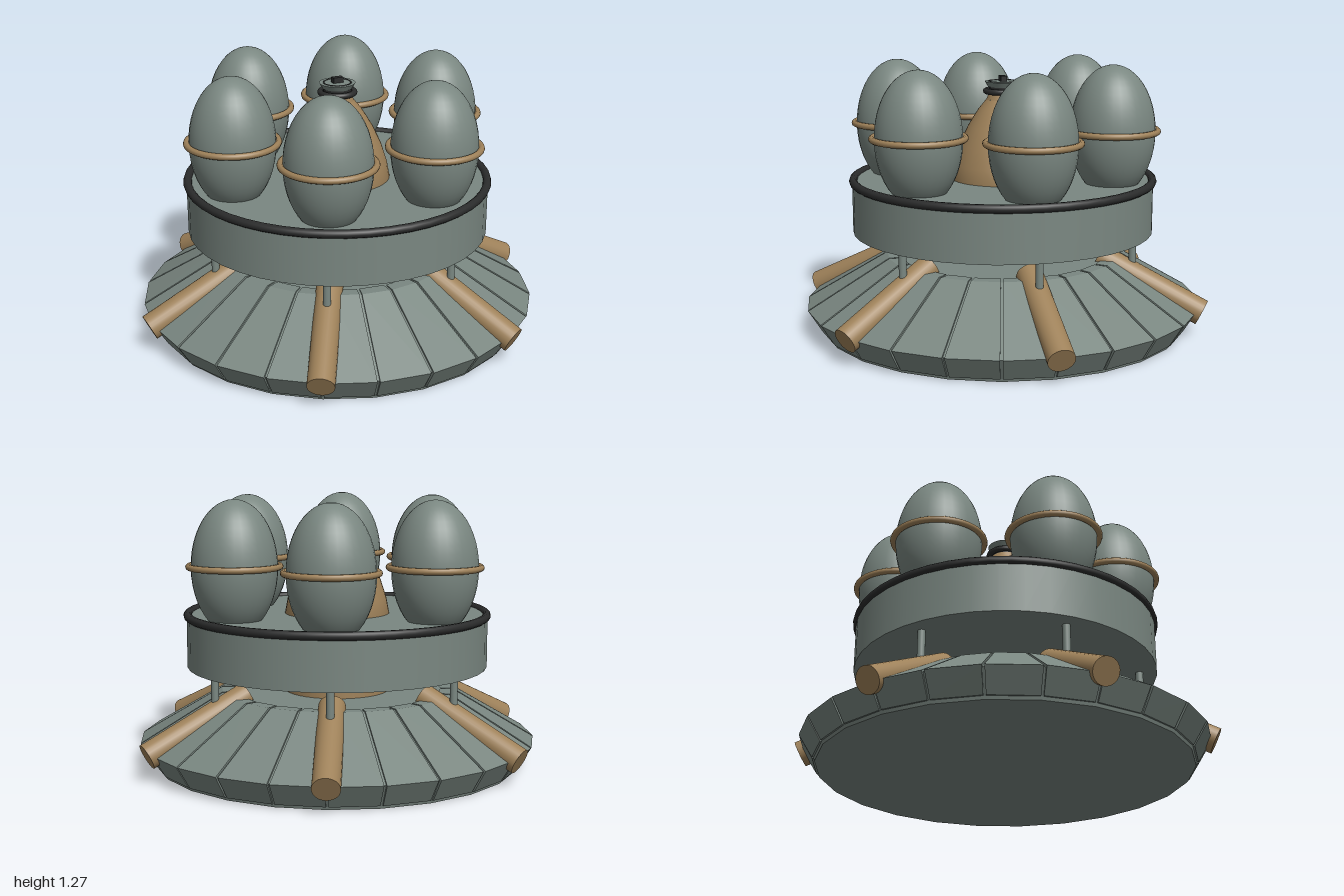
import * as THREE from 'three';
import { ConvexGeometry } from 'three/addons/geometries/ConvexGeometry.js';

export function createModel() {
  const model = new THREE.Group();
  const mat = (name, color, flat = false) => {
    const m = new THREE.MeshStandardMaterial({ color, flatShading: flat });
    m.name = name;
    return m;
  };
  const grey = mat('greyMetal', 0x7a8781);
  const tan = mat('bronze', 0x9e8159);
  const black = mat('blackRubber', 0x2b2c2c);

  const add = (name, geometry, material, parent = model) => {
    const mesh = new THREE.Mesh(geometry, material);
    mesh.name = name;
    parent.add(mesh);
    return mesh;
  };
  const lathe = (pts, seg) => new THREE.LatheGeometry(pts.map(p => new THREE.Vector2(...p)), seg);
  const disc = (name, rTop, rBottom, y0, y1, seg, material, parent) => {
    const m = add(name, new THREE.CylinderGeometry(rTop, rBottom, y1 - y0, seg), material, parent);
    m.position.y = (y0 + y1) / 2;
    return m;
  };
  const hoop = (name, r, tube, y, material, parent) => {
    const m = add(name, new THREE.TorusGeometry(r, tube, 10, 48), material, parent);
    m.rotation.x = Math.PI / 2;
    m.position.y = y;
    return m;
  };

  // Base core, visible as the floor of the grooves
  disc('baseLowerCore', 0.935, 0.868, 0, 0.118, 24, grey);
  disc('baseUpperCore', 0.55, 0.935, 0.118, 0.345, 24, grey);
  disc('baseFloor', 0.877, 0.872, 0, 0.015, 24, grey);

  // Twenty-four skirt panels with narrow gaps, each an upper and a lower slab
  const step = Math.PI / 12, gap = 0.006;
  const slab = profile => {
    const pts = [];
    for (const [r, y] of profile) {
      for (const s of [-1, 1]) {
        const a = s * step / 2;
        pts.push(new THREE.Vector3(
          r * Math.cos(a) + s * gap * Math.sin(step / 2), y,
          r * Math.sin(a) - s * gap * Math.cos(a)));
      }
    }
    return new ConvexGeometry(pts);
  };
  const upper = slab([[0.56, 0.35], [0.95, 0.12], [0.9, 0.12], [0.5, 0.35]]);
  const lower = slab([[0.95, 0.12], [0.885, 0.015], [0.82, 0.015], [0.88, 0.12]]);
  for (let i = 0; i < 24; i++) {
    const panel = new THREE.Group();
    panel.name = 'skirtPanel';
    panel.rotation.y = (i + 0.5) * step;
    add('skirtSlope', upper, grey, panel);
    add('skirtEdge', lower, grey, panel);
    model.add(panel);
  }

  // Tray with its black rim
  disc('tray', 0.72, 0.72, 0.47, 0.718, 40, grey);
  hoop('trayRim', 0.715, 0.02, 0.715, black);

  // Central column that tapers above the tray
  add('column', lathe([[0.25, 0.3], [0.25, 0.72], [0.237, 0.79], [0.208, 0.88],
    [0.165, 0.97], [0.115, 1.05], [0.078, 1.095]], 40), tan);
  disc('columnNeck', 0.065, 0.078, 1.095, 1.125, 32, tan);

  // Cap on the column
  const cap = new THREE.Group();
  cap.name = 'cap';
  model.add(cap);
  hoop('capSeal', 0.08, 0.014, 1.134, black, cap);
  disc('capBody', 0.066, 0.066, 1.12, 1.157, 32, black, cap);
  disc('capPlate', 0.085, 0.07, 1.155, 1.18, 32, grey, cap);
  hoop('capGroove', 0.064, 0.004, 1.179, black, cap);
  const knob = add('capKnob', new THREE.BoxGeometry(0.05, 0.028, 0.028), black, cap);
  knob.position.y = 1.192;

  // Six arms, each with an egg and its hoop, a post and a sloping pipe
  const egg = new THREE.SphereGeometry(0.2, 32, 24).scale(1, 1.56, 1);
  const outer = new THREE.Vector3(0.97, 0.117, 0), inner = new THREE.Vector3(0.475, 0.358, 0);
  const dir = outer.clone().sub(inner);
  const pipe = new THREE.CylinderGeometry(0.062, 0.062, dir.length(), 24);
  const post = new THREE.CylinderGeometry(0.018, 0.018, 0.25, 16);
  for (let i = 0; i < 6; i++) {
    const arm = new THREE.Group();
    arm.name = 'arm';
    arm.rotation.y = i * Math.PI / 3;
    model.add(arm);
    add('egg', egg, grey, arm).position.set(0.53, 0.96, 0);
    hoop('eggHoop', 0.21, 0.015, 0.965, tan, arm).position.x = 0.53;
    add('post', post, grey, arm).position.set(0.635, 0.365, 0);
    const p = add('pipe', pipe, tan, arm);
    p.position.copy(outer).add(inner).multiplyScalar(0.5);
    p.quaternion.setFromUnitVectors(new THREE.Vector3(0, 1, 0), dir.clone().normalize());
  }
  return model;
}
